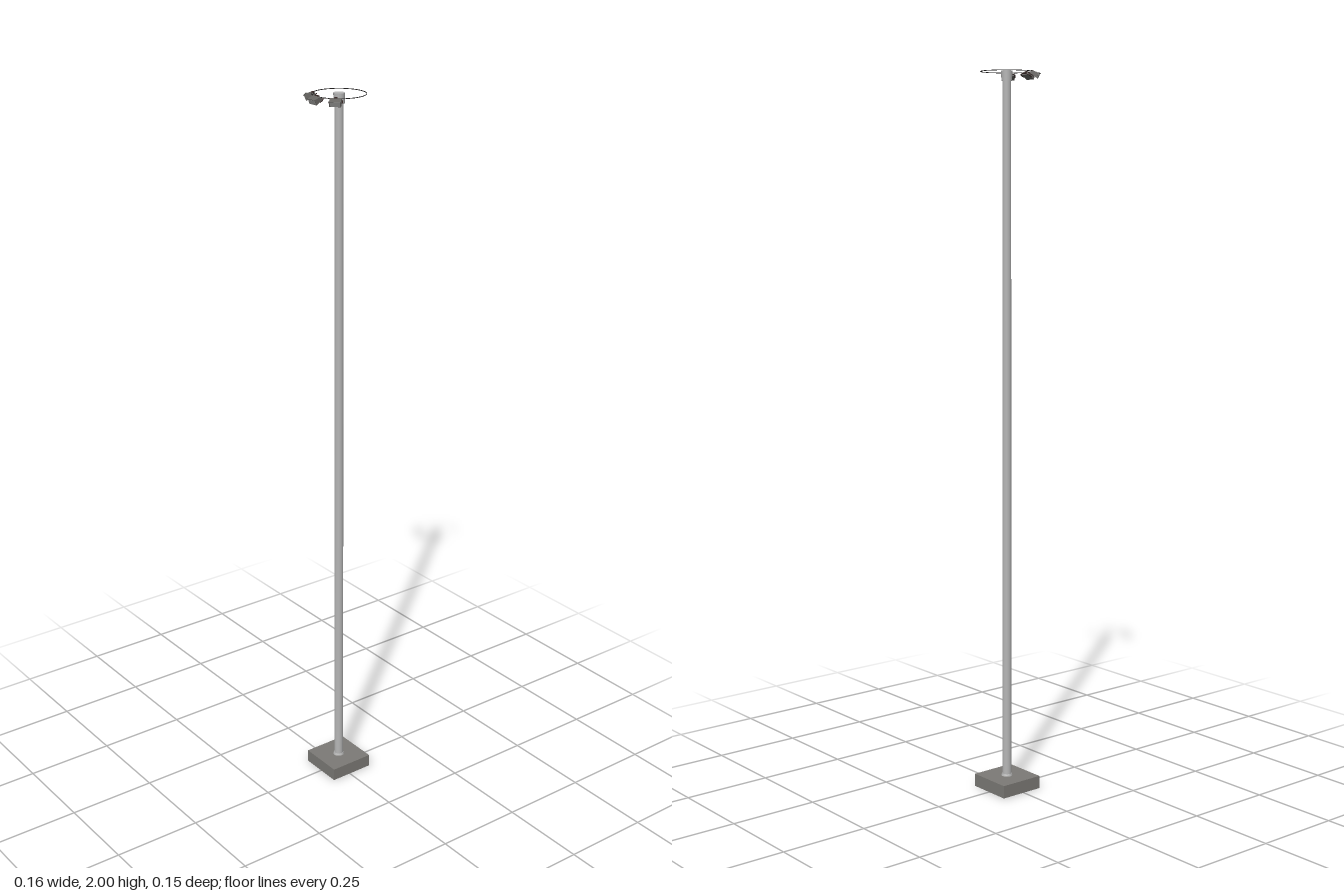
import * as THREE from 'three';

export function createModel() {
  const model = new THREE.Group();
  model.name = 'floodlightMast';
  const material = (name, color) => {
    const m = new THREE.MeshStandardMaterial({ color });
    m.name = name;
    return m;
  };
  const steel = material('galvanised steel', 0xb6b6b6);
  const concrete = material('concrete grey', 0x7c7a76);
  const housingGrey = material('housing grey', 0x676562);
  const bracketBrown = material('bracket dark brown', 0x352422);
  const black = material('ring black', 0x1c1a1a);
  const glass = material('lamp glass', 0x9a9a98);

  const add = (parent, name, geometry, mat, x = 0, y = 0, z = 0) => {
    const mesh = new THREE.Mesh(geometry, mat);
    mesh.name = name;
    mesh.position.set(x, y, z);
    parent.add(mesh);
    return mesh;
  };
  const axisX = 0.007;

  // Square foundation block
  add(model, 'base', new THREE.BoxGeometry(0.13, 0.036, 0.13), concrete, axisX, 0.018, -0.001);

  // Slightly tapered mast with a collar at its foot and a wider head
  add(model, 'pole', new THREE.CylinderGeometry(0.0118, 0.0132, 1.94, 16), steel, axisX, 1.005, 0);
  add(model, 'footCollar', new THREE.CylinderGeometry(0.014, 0.016, 0.006, 16), steel, axisX, 0.039, 0);
  add(model, 'poleHead', new THREE.CylinderGeometry(0.0152, 0.0145, 0.027, 16), steel, axisX, 1.983, 0);

  // Thin ring that carries the lamps
  const ring = add(model, 'lampRing', new THREE.TorusGeometry(0.07, 0.001, 6, 64), black, axisX, 1.994, 0);
  ring.rotation.x = Math.PI / 2;

  // U-shaped bracket, open toward the lamp (local +x is outward)
  const bracketCurve = new THREE.CatmullRomCurve3([
    [0.073, -0.008, 0.0165], [0.064, -0.003, 0.0165], [0.060, 0, 0.012],
    [0.060, 0, -0.012], [0.064, -0.003, -0.0165], [0.073, -0.008, -0.0165],
  ].map((p) => new THREE.Vector3(...p)));
  const bracketGeometry = new THREE.TubeGeometry(bracketCurve, 24, 0.0013, 6);

  // Tapered lamp housing: narrow back, wide front
  const housingShape = new THREE.Shape([
    [-0.011, -0.004], [0.011, -0.008], [0.011, 0.007], [-0.008, 0.006], [-0.011, 0.003],
  ].map((p) => new THREE.Vector2(...p)));
  const housingGeometry = new THREE.ExtrudeGeometry(housingShape, { depth: 0.03, bevelEnabled: false });
  housingGeometry.translate(0, 0, -0.015);

  // Three floodlights on the right half of the ring
  [-46, 0, 46].forEach((degrees) => {
    const lamp = new THREE.Group();
    lamp.name = 'floodlight';
    lamp.position.set(axisX, 1.99, 0);
    lamp.rotation.y = Math.PI + THREE.MathUtils.degToRad(degrees);
    model.add(lamp);
    add(lamp, 'bracket', bracketGeometry, bracketBrown);
    add(lamp, 'ringClamp', new THREE.BoxGeometry(0.006, 0.006, 0.008), bracketBrown, 0.068, 0.004, 0);

    const head = new THREE.Group();
    head.name = 'lampHead';
    head.position.set(0.075, -0.003, 0);
    head.rotation.z = -0.4;
    lamp.add(head);
    add(head, 'housing', housingGeometry, housingGrey);
    add(head, 'visor', new THREE.BoxGeometry(0.003, 0.0015, 0.033), housingGrey, 0.0115, 0.0075, 0);
    add(head, 'lampGlass', new THREE.BoxGeometry(0.001, 0.012, 0.026), glass, 0.0113, -0.0005, 0);
  });

  return model;
}
